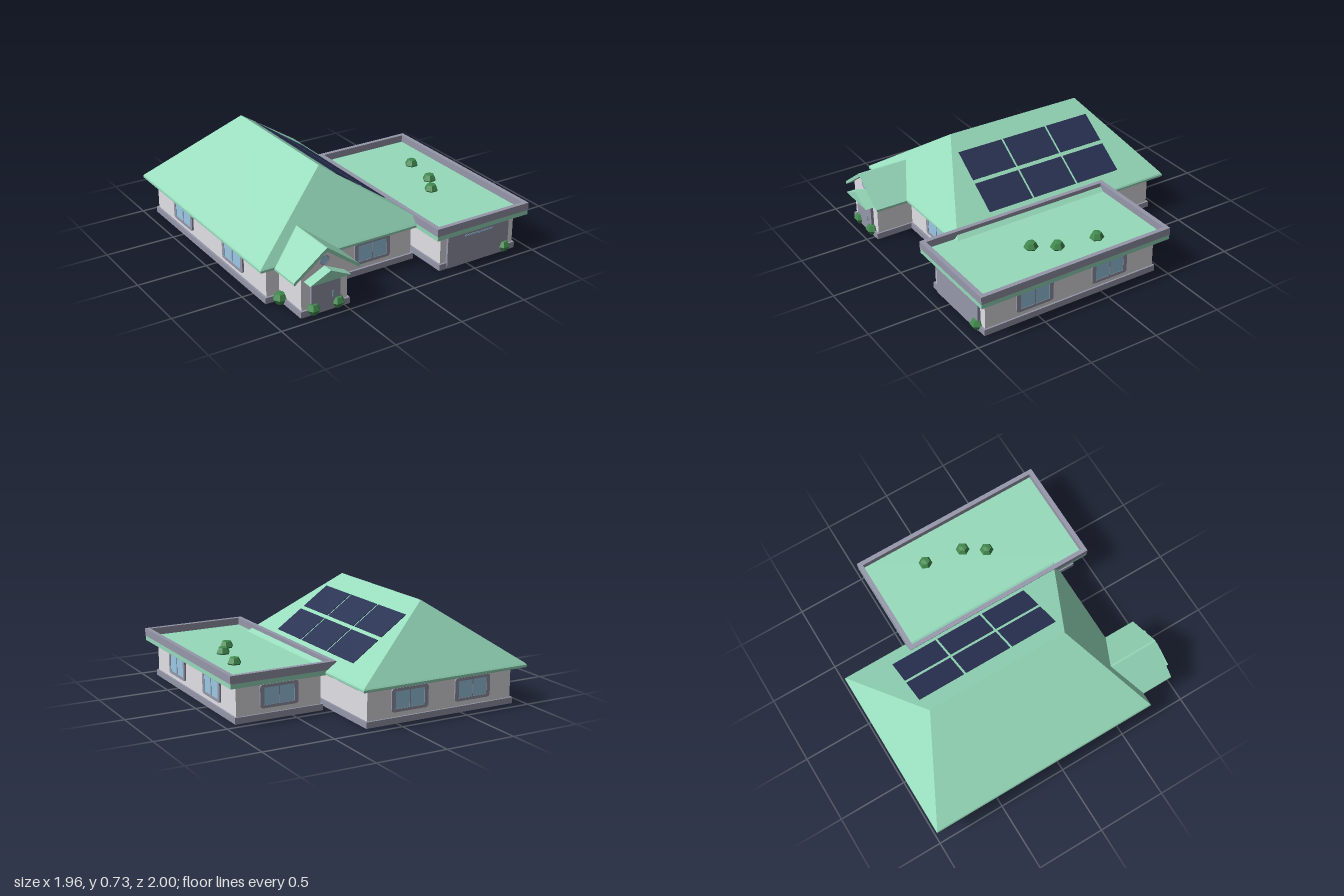
import * as THREE from 'three';
import { ConvexGeometry } from 'three/addons/geometries/ConvexGeometry.js';

const paint = (name, color, extra = {}) => {
  const m = new THREE.MeshStandardMaterial({ color, ...extra });
  m.name = name;
  return m;
};

export function createModel() {
  const house = new THREE.Group();
  house.name = 'house';
  const roofGreen = paint('roof green', 0x96dabb);
  const wallGrey = paint('wall grey', 0xe1e0e5);
  const trimGrey = paint('trim grey', 0x9597aa);
  const glassBlue = paint('glass blue', 0x9cc9e6);
  const panelNavy = paint('panel navy', 0x283152);
  const bushGreen = paint('bush green', 0x418a4e, { flatShading: true });
  const handleTeal = paint('handle teal', 0x7fb0bd);

  const add = (name, geometry, material, parent = house) => {
    const mesh = new THREE.Mesh(geometry, material);
    mesh.name = name;
    parent.add(mesh);
    return mesh;
  };
  // Box given by its limits on each axis
  const box = (name, [x0, x1], [y0, y1], [z0, z1], material, parent) => {
    const mesh = add(name, new THREE.BoxGeometry(x1 - x0, y1 - y0, z1 - z0), material, parent);
    mesh.position.set((x0 + x1) / 2, (y0 + y1) / 2, (z0 + z1) / 2);
    return mesh;
  };
  const polygon = (points) => new THREE.Shape(points.map(([x, y]) => new THREE.Vector2(x, y)));
  const extrude = (shape, depth) =>
    new THREE.ExtrudeGeometry(shape, { depth, bevelEnabled: false, curveSegments: 5 });
  // Rectangle centred on the origin, with rounded corners
  const roundedRect = (w, h, r) => {
    const s = new THREE.Shape();
    const a = w / 2, b = h / 2;
    s.moveTo(-a + r, -b);
    s.lineTo(a - r, -b).quadraticCurveTo(a, -b, a, -b + r);
    s.lineTo(a, b - r).quadraticCurveTo(a, b, a - r, b);
    s.lineTo(-a + r, b).quadraticCurveTo(-a, b, -a, b - r);
    s.lineTo(-a, -b + r).quadraticCurveTo(-a, -b, -a + r, -b);
    return s;
  };

  // Main house and garage bodies on their plinths
  box('mainPlinth', [-0.92, 0.23], [0.002, 0.044], [-0.933, 0.665], trimGrey);
  box('mainWalls', [-0.905, 0.217], [0.03, 0.27], [-0.92, 0.65], wallGrey);
  box('garagePlinth', [0.275, 0.917], [0, 0.044], [-0.445, 0.903], trimGrey);
  box('garageWalls', [0.287, 0.905], [0.03, 0.27], [-0.433, 0.89], wallGrey);

  // Hipped main roof with a soft eave edge
  const eave = [];
  for (const [y, inset] of [[0.26, 0.008], [0.266, 0], [0.28, 0], [0.289, 0.006]]) {
    for (const x of [-0.98 + inset, 0.29 - inset]) {
      for (const z of [-1 + inset, 0.72 - inset]) eave.push(new THREE.Vector3(x, y, z));
    }
  }
  const ridge = [-0.66, 0.385].map((z) => new THREE.Vector3(-0.345, 0.727, z));
  add('mainRoof', new ConvexGeometry([...eave, ...ridge]), roofGreen);

  // Solar panels lying flush on the right slope
  const panels = new THREE.Group();
  panels.name = 'solarPanels';
  panels.position.set(-0.0225, 0.5034, -0.139);
  panels.rotation.z = -Math.atan2(0.438, 0.629);
  house.add(panels);
  for (const u of [-0.129, 0.129]) {
    for (const z of [-0.362, 0, 0.362]) {
      const panel = add('solarPanel', new THREE.BoxGeometry(0.228, 0.004, 0.346), panelNavy, panels);
      panel.position.set(u, 0.001, z);
    }
  }

  // Flat garage roof with a raised rim
  box('garageRoof', [0.212, 0.975], [0.26, 0.295], [-0.51, 0.955], roofGreen);
  const rim = polygon([[0.21, -0.957], [0.977, -0.957], [0.977, 0.512], [0.21, 0.512]]);
  rim.holes.push(polygon([[0.242, -0.925], [0.242, 0.48], [0.945, 0.48], [0.945, -0.925]]));
  const parapet = add('garageParapet', extrude(rim, 0.054), trimGrey);
  parapet.rotation.x = -Math.PI / 2;
  parapet.position.y = 0.293;

  // Entrance porch with gabled front and roof, its walls running back into the house
  const porch = new THREE.Group();
  porch.name = 'porch';
  porch.position.x = -0.64;
  house.add(porch);
  box('porchPlinth', [-0.182, 0.182], [0, 0.044], [0.38, 0.935], trimGrey, porch);
  const gable = polygon([[-0.17, 0.001], [0.17, 0.001], [0.17, 0.303], [0, 0.427], [-0.17, 0.303]]);
  add('porchWalls', extrude(gable, 1.02), wallGrey, porch).position.z = -0.1;
  const chevron = polygon([
    [-0.242, 0.262], [-0.236, 0.256], [0, 0.427], [0.236, 0.256],
    [0.242, 0.262], [0.242, 0.276], [0.006, 0.452], [0, 0.454], [-0.006, 0.452], [-0.242, 0.276],
  ]);
  add('porchRoof', extrude(chevron, 0.535), roofGreen, porch).position.z = 0.42;
  const awning = polygon([[-0.15, 0.245], [0.15, 0.245], [0, 0.316]]);
  add('doorAwning', extrude(awning, 0.09), roofGreen, porch).position.z = 0.907;

  // Front door, handle and round gable window
  const door = add('frontDoor', extrude(roundedRect(0.212, 0.22, 0.015), 0.03), trimGrey, porch);
  door.position.set(0, 0.125, 0.91);
  box('doorHandle', [0.047, 0.058], [0.093, 0.132], [0.938, 0.945], handleTeal, porch);
  const ring = add('roundWindowFrame', new THREE.TorusGeometry(0.031, 0.005, 6, 24), trimGrey, porch);
  ring.position.set(0, 0.357, 0.922);
  const pane = add('roundWindowGlass', new THREE.CircleGeometry(0.031, 24), glassBlue, porch);
  pane.position.set(0, 0.357, 0.924);

  // Garage door with a narrow strip of glass
  const garageDoor = add('garageDoor', extrude(roundedRect(0.515, 0.238, 0.012), 0.03), trimGrey);
  garageDoor.position.set(0.593, 0.121, 0.88);
  for (const x of [0.537, 0.652]) {
    box('garageDoorGlass', [x - 0.056, x + 0.056], [0.205, 0.217], [0.908, 0.912], glassBlue);
  }

  // Two-pane windows: position on the wall and facing angle
  const addWindow = (x, z, angle) => {
    const group = new THREE.Group();
    group.name = 'window';
    group.position.set(x, 0.158, z);
    group.rotation.y = angle;
    house.add(group);
    const frame = roundedRect(0.28, 0.159, 0.024);
    for (const s of [-1, 1]) {
      const a = s * 0.003, b = s * 0.111;
      frame.holes.push(polygon([[a, -0.059], [b, -0.059], [b, 0.059], [a, 0.059]]));
    }
    add('windowFrame', extrude(frame, 0.012), trimGrey, group);
    box('windowGlass', [-0.115, 0.115], [-0.062, 0.062], [0, 0.009], glassBlue, group);
  };
  const quarter = Math.PI / 2;
  addWindow(-0.1, 0.65, 0);
  for (const z of [0.52, -0.067]) addWindow(0.905, z, quarter);
  for (const x of [-0.1, -0.59]) addWindow(x, -0.92, Math.PI);
  addWindow(0.596, -0.433, Math.PI);
  for (const z of [-0.5, 0.22]) addWindow(-0.905, z, -quarter);

  // Six-sided bushes by the walls and on the flat roof
  const bushProfile = [[0, 0.002], [0.026, 0.003], [0.05, 0.04], [0.032, 0.076], [0, 0.081]]
    .map(([r, y]) => new THREE.Vector2(r, y));
  const bushGeometry = new THREE.LatheGeometry(bushProfile, 6).rotateY(Math.PI / 6);
  for (const [x, y, z] of [
    [-0.835, 0, 0.702], [-0.728, 0, 0.927], [-0.548, 0, 0.927], [0.823, 0, 0.897],
    [0.747, 0.264, -0.08], [0.7, 0.264, 0.203], [0.607, 0.264, 0.35],
  ]) {
    add('bush', bushGeometry, bushGreen).position.set(x, y, z);
  }
  return house;
}
